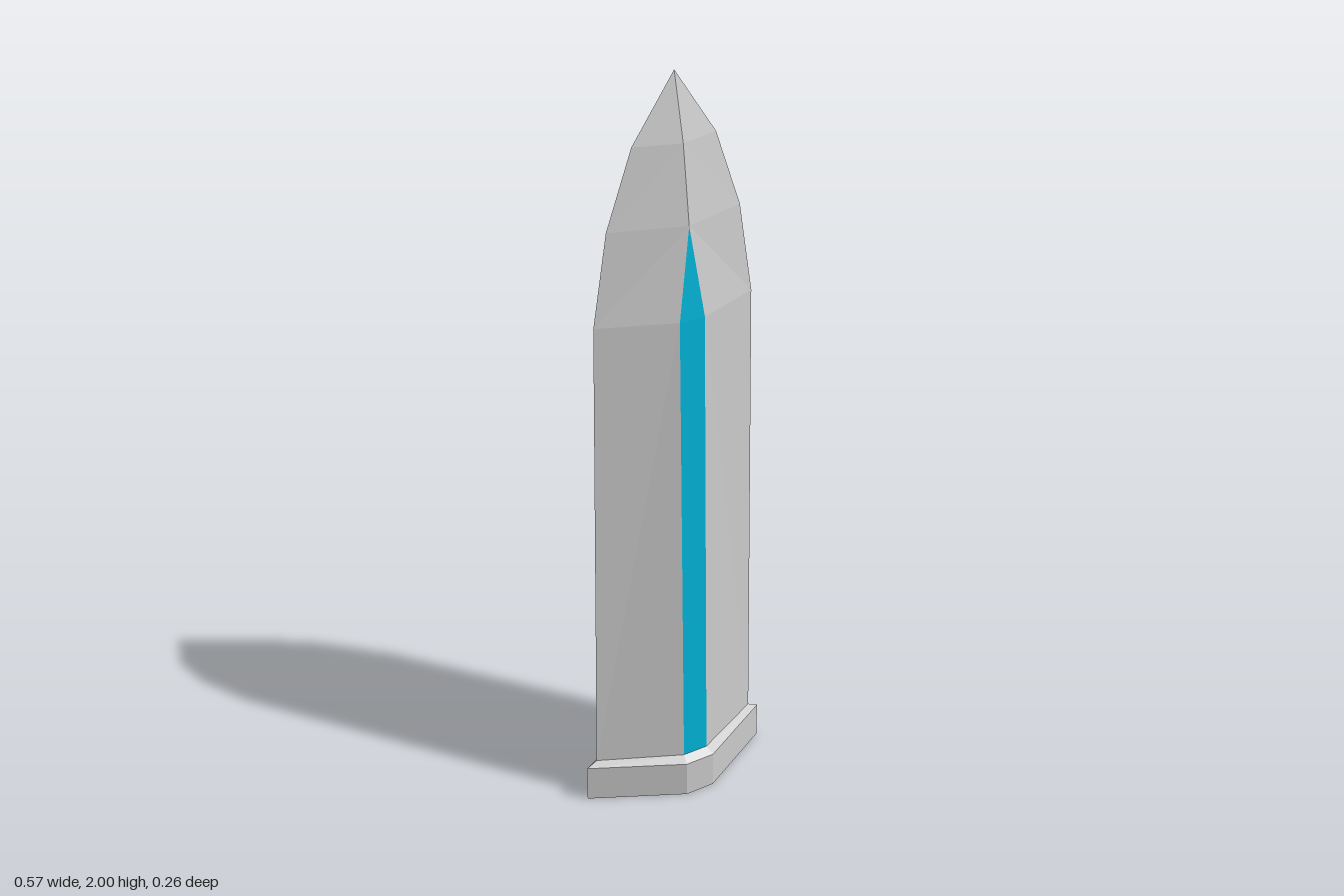
import * as THREE from 'three';

// Six-sided ring: sharp edges at +-w, flat of half-width c at depth +-d
const ring = ([y, w, c, d]) => [
  [w, y, 0], [c, y, d], [-c, y, d], [-w, y, 0], [-c, y, -d], [c, y, -d],
];

// Joins successive rings with triangles along the chosen sides
function loft(sections, sides, capBottom = false) {
  const rings = sections.map(ring);
  const pos = [];
  const tri = (a, b, c) => {
    const [A, B, C] = [a, b, c].map((p) => new THREE.Vector3(...p));
    const area = B.clone().sub(A).cross(C.clone().sub(A)).length();
    if (area > 1e-7) pos.push(...a, ...b, ...c); // skip collapsed triangles
  };
  for (let r = 0; r < rings.length - 1; r++) {
    const lo = rings[r], hi = rings[r + 1];
    for (const i of sides) {
      const j = (i + 1) % 6;
      // diagonals run from the lower outer edge to the upper inner edge
      if (i % 3 === 0) {
        tri(lo[i], hi[i], hi[j]);
        tri(lo[i], hi[j], lo[j]);
      } else {
        tri(lo[i], hi[i], lo[j]);
        tri(lo[j], hi[i], hi[j]);
      }
    }
  }
  if (capBottom) for (let i = 1; i < 5; i++) tri(rings[0][0], rings[0][i], rings[0][i + 1]);
  const geo = new THREE.BufferGeometry();
  geo.setAttribute('position', new THREE.Float32BufferAttribute(pos, 3));
  geo.computeVertexNormals();
  return geo;
}

export function createModel() {
  const group = new THREE.Group();
  const grey = new THREE.MeshStandardMaterial({ color: 0xcccccc, flatShading: true });
  const blue = new THREE.MeshStandardMaterial({ color: 0x00b4d8, flatShading: true });
  const add = (name, geo, mat) => {
    const mesh = new THREE.Mesh(geo, mat);
    mesh.name = name;
    group.add(mesh);
  };

  // Sections: y, half width, half width of the central flat, half depth
  const blade = [
    [0.11, 0.252, 0.037, 0.107],
    [1.39, 0.235, 0.037, 0.083],
    [1.63, 0.195, 0, 0.067],
    [1.83, 0.121, 0, 0.04],
    [2, 0, 0, 0],
  ];
  const collar = [
    [0, 0.283, 0.043, 0.131],
    [0.1, 0.283, 0.043, 0.131],
    [0.115, 0.252, 0.037, 0.107],
  ];

  // Grey bevelled faces of the blade
  add('blade', loft(blade, [0, 2, 3, 5]), grey);
  // Coloured strips down the front and back, ending in a point
  add('frontStrip', loft(blade.slice(0, 3), [1]), blue);
  add('backStrip', loft(blade.slice(0, 3), [4]), blue);
  // Base collar with a sloped upper rim
  add('baseCollar', loft(collar, [0, 1, 2, 3, 4, 5], true), grey);
  return group;
}
